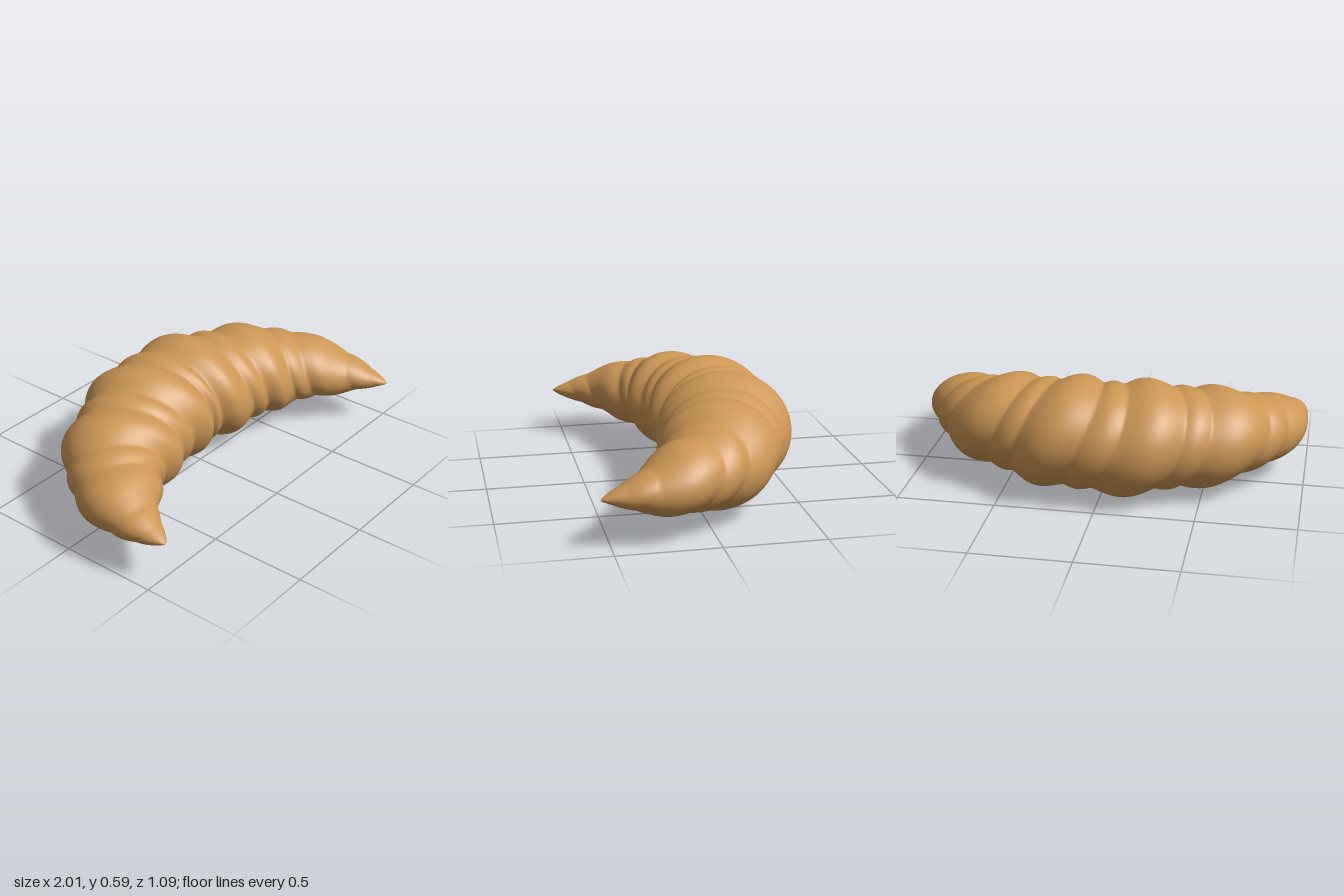
import * as THREE from 'three';

const RINGS = 320, SIDES = 72, PERIOD = 0.39;

// Ridge height 0..1 along the body: broad dough folds split by a narrow roll
function ridge(s) {
  const d = s - 0.025;
  const w = Math.abs(d - PERIOD * Math.round(d / PERIOD));
  const dip = 0.06;
  if (w < dip) return 0.38 * Math.cos((w / dip) * Math.PI / 2);
  return Math.pow(Math.sin(((w - dip) / (PERIOD / 2 - dip)) * Math.PI / 2), 1.15);
}

// Crescent sweep with tapered, slanted folds
function crescentGeometry() {
  const half = [[0.34, 0.287, -0.147], [0.625, 0.278, -0.02], [0.79, 0.264, 0.15], [0.877, 0.25, 0.32], [0.93, 0.24, 0.55]];
  const points = [
    ...half.map(([x, y, z]) => new THREE.Vector3(-x, y, z)).reverse(),
    new THREE.Vector3(0, 0.292, -0.215),
    ...half.map(([x, y, z]) => new THREE.Vector3(x, y, z)),
  ];
  const spine = new THREE.CatmullRomCurve3(points);
  spine.arcLengthDivisions = 600;
  const length = spine.getLength();
  const positions = [], index = [];

  for (let i = 0; i <= RINGS; i++) {
    const t = i / RINGS;
    const u = 2 * t - 1;
    const s = u * length / 2;
    const centre = spine.getPointAt(t);
    const tan = spine.getTangentAt(t).setY(0).normalize();
    const base = Math.max(0, 1 - u * u);
    const width = 0.35 * Math.pow(base, 0.8);
    const height = 0.295 * Math.pow(base, 0.87);
    for (let j = 0; j < SIDES; j++) {
      const a = (j / SIDES) * Math.PI * 2;
      // Folds lean across the body and bow slightly on the outer curve
      const slant = (0.085 * Math.sin(a) + 0.02 * Math.cos(a)) * Math.pow(base, 0.4);
      const r = 1 - 0.13 * (1 - ridge(s + slant));
      const out = width * r * Math.cos(a);
      positions.push(centre.x + tan.z * out, centre.y + height * r * Math.sin(a), centre.z - tan.x * out);
      if (i < RINGS) {
        const k = (j + 1) % SIDES;
        const p = i * SIDES + j, q = i * SIDES + k;
        index.push(p, q, p + SIDES, q, q + SIDES, p + SIDES);
      }
    }
  }

  const geometry = new THREE.BufferGeometry();
  geometry.setAttribute('position', new THREE.Float32BufferAttribute(positions, 3));
  geometry.setIndex(index);
  geometry.computeVertexNormals();
  return geometry;
}

export function createModel() {
  const group = new THREE.Group();
  group.name = 'croissant';
  const crust = new THREE.MeshStandardMaterial({ color: 0xcc9655 });
  crust.name = 'golden crust';
  const body = new THREE.Mesh(crescentGeometry(), crust);
  body.name = 'pastryBody';
  group.add(body);
  return group;
}
